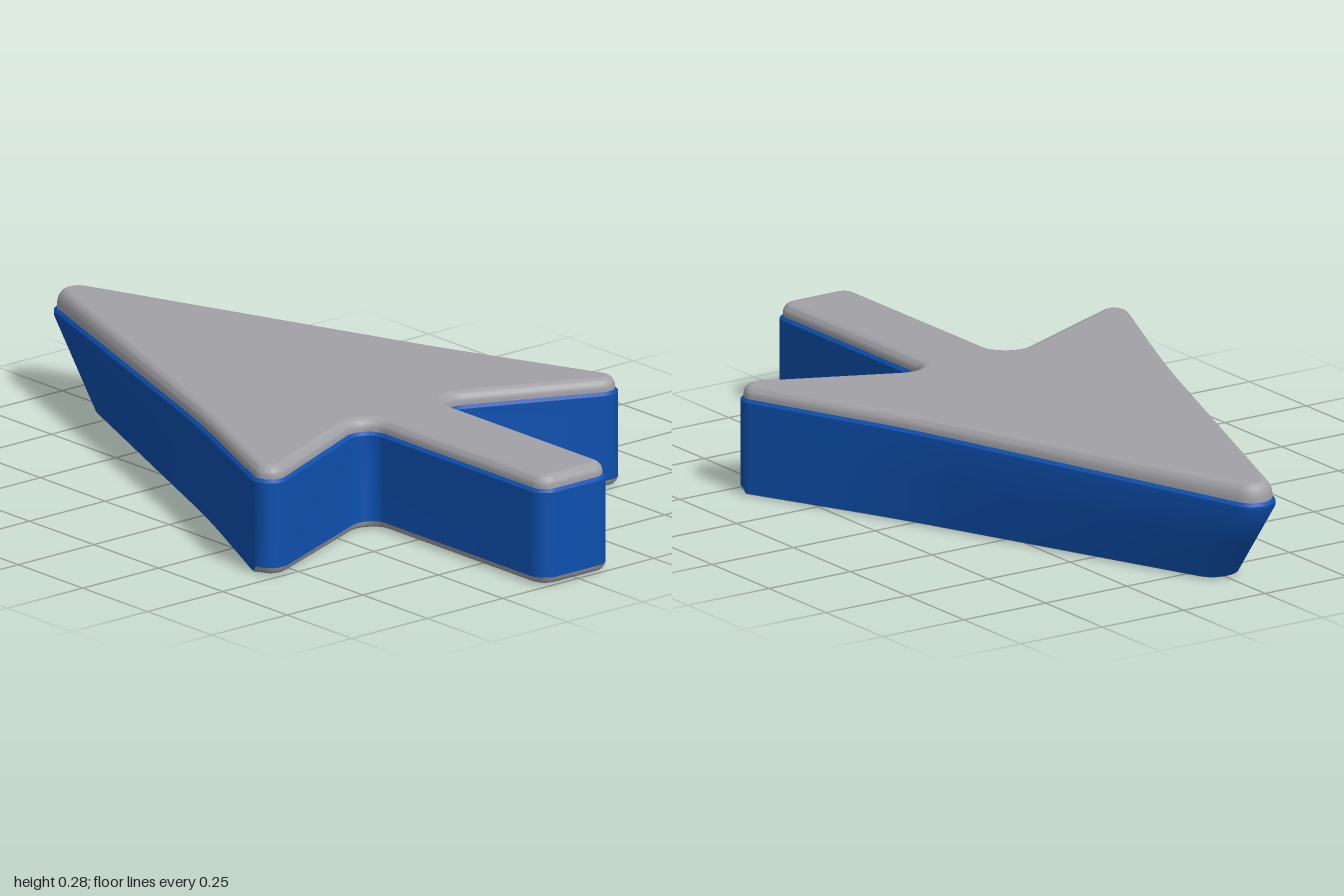
import * as THREE from 'three';
import { toCreasedNormals } from 'three/addons/utils/BufferGeometryUtils.js';

const blue = new THREE.MeshStandardMaterial({ color: 0x0d50ae });
blue.name = 'blue';
const grey = new THREE.MeshStandardMaterial({ color: 0xa2a1a6 });
grey.name = 'grey';

// Arrow corners as [x, z, corner radius], from the nose round the +z side
const half = [[0, 0.41, 6], [0.54, 0.64, 0.05], [0.305, 0.118, 0.05], [1, 0.118, 0.05]];
const corners = [[-1.12, 0, 0.063], ...half, ...half.slice().reverse().map(([x, z, r]) => [x, -z, r])];

// Replace every corner by a circular arc
function roundedOutline() {
  const points = [];
  const n = corners.length;
  corners.forEach(([x, z, r], i) => {
    const p = new THREE.Vector2(x, z);
    const toward = (c) => new THREE.Vector2(c[0], c[1]).sub(p).normalize();
    const a = toward(corners[(i + n - 1) % n]);
    const b = toward(corners[(i + 1) % n]);
    const halfAngle = Math.acos(a.dot(b)) / 2;
    const centre = a.clone().add(b).normalize().multiplyScalar(r / Math.sin(halfAngle)).add(p);
    const reach = r / Math.tan(halfAngle);
    const start = a.multiplyScalar(reach).add(p).sub(centre);
    const end = b.multiplyScalar(reach).add(p).sub(centre);
    const a0 = start.angle();
    let turn = end.angle() - a0;
    if (turn > Math.PI) turn -= 2 * Math.PI;
    if (turn < -Math.PI) turn += 2 * Math.PI;
    const steps = 10;
    for (let k = 0; k <= steps; k++) {
      const t = a0 + (turn * k) / steps;
      points.push(new THREE.Vector2(centre.x + r * Math.cos(t), centre.y + r * Math.sin(t)));
    }
  });
  return points;
}

const outline = roundedOutline();
const normals = outline.map((p, i) => {
  const n = outline.length;
  const t = outline[(i + 1) % n].clone().sub(outline[(i + n - 1) % n]).normalize();
  return new THREE.Vector2(-t.y, t.x);
});

// One closed cross-section; the nose recedes towards the underside
function ring(inset, height) {
  return outline.map((p, i) => {
    const x = p.x - normals[i].x * inset;
    const z = p.y - normals[i].y * inset;
    const y = typeof height === 'function' ? height(p, normals[i]) : height;
    const recede = Math.max(0, (0.22 - y) / 0.22);
    const nose = THREE.MathUtils.clamp((0.45 - x) / 1.45, 0, 1);
    return [x + 0.17 * recede * nose, y, z];
  });
}

// Surface through a stack of rings, lowest first
function skin(rings) {
  const n = outline.length;
  const index = [];
  for (let r = 0; r < rings.length - 1; r++) {
    for (let i = 0; i < n; i++) {
      const a = r * n + i;
      const b = r * n + ((i + 1) % n);
      index.push(a, b, b + n, a, b + n, a + n);
    }
  }
  const geometry = new THREE.BufferGeometry();
  geometry.setAttribute('position', new THREE.Float32BufferAttribute(rings.flat(2), 3));
  geometry.setIndex(index);
  return toCreasedNormals(geometry, 0.7);
}

// Flat face closing a ring, facing up or down
function face(points, up) {
  const flat = points.map(([x, , z]) => new THREE.Vector2(x, z));
  const index = [];
  for (const [a, b, c] of THREE.ShapeUtils.triangulateShape(flat, [])) {
    const facesDown = flat[b].clone().sub(flat[a]).cross(flat[c].clone().sub(flat[a])) > 0;
    if (facesDown === up) index.push(a, c, b);
    else index.push(a, b, c);
  }
  const geometry = new THREE.BufferGeometry();
  geometry.setAttribute('position', new THREE.Float32BufferAttribute(points.flat(), 3));
  geometry.setIndex(index);
  geometry.computeVertexNormals();
  return geometry;
}

export function createModel() {
  const group = new THREE.Group();
  group.name = 'arrow';
  const add = (name, geometry, material) => {
    const mesh = new THREE.Mesh(geometry, material);
    mesh.name = name;
    group.add(mesh);
  };

  // The colour seam dips slightly at the nose
  const seam = (p) => 0.252 - 0.014 * THREE.MathUtils.clamp(-p.x, 0, 1);
  const top = 0.285;

  // Underside bevel is full at the rear and almost sharp along the front flanks
  const bevel = (share) => (p, n) => (n.x < -0.05 ? 0.005 : 0.02) * share;
  const base = ring(0.02, 0);
  const bevelRings = [base, ring(0.009, bevel(0.2)), ring(0.003, bevel(0.55)), ring(0, bevel(1))];
  add('underside', face(base, false), grey);
  add('undersideBevel', skin(bevelRings), grey);

  // Blue side walls with a small lip
  const lip = ring(0.008, seam);
  add('sideWall', skin([
    bevelRings[3],
    ring(0, 0.12),
    ring(0, 0.22),
    ring(0, (p) => seam(p) - 0.008),
    lip,
  ]), blue);

  // Grey cover with a rounded rim
  const rim = [lip];
  const steps = 6;
  for (let k = 0; k <= steps; k++) {
    const t = (k / steps) * (Math.PI / 2);
    const low = (p) => seam(p) + 0.006;
    rim.push(ring(0.008 + 0.026 * (1 - Math.cos(t)), (p) => low(p) + (top - low(p)) * Math.sin(t)));
  }
  add('coverRim', skin(rim), grey);
  add('coverTop', face(rim[rim.length - 1], true), grey);

  return group;
}
